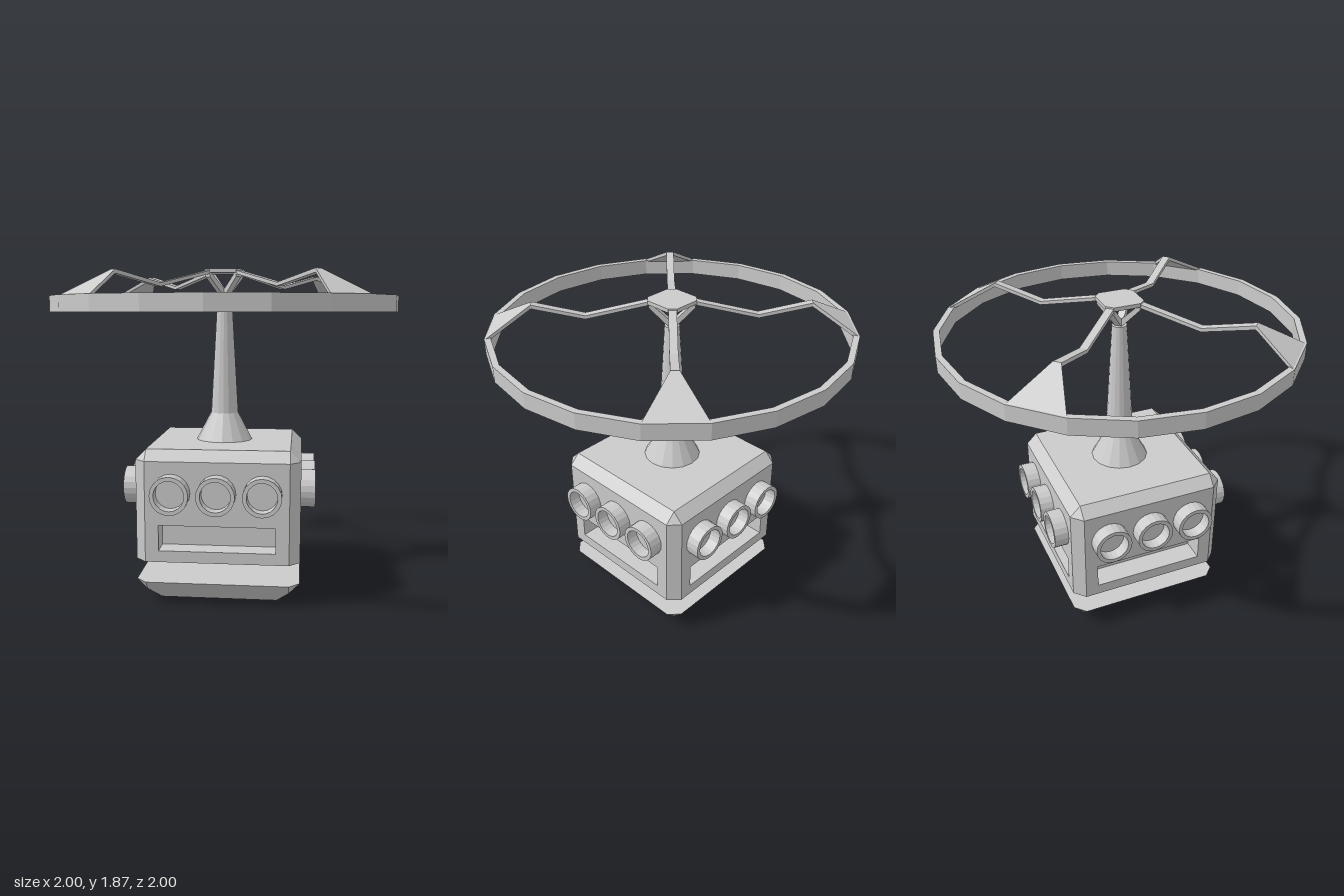
import * as THREE from 'three';
import { ConvexGeometry } from 'three/addons/geometries/ConvexGeometry.js';

const material = new THREE.MeshStandardMaterial({ color: 0xcccccc, flatShading: true });

function part(name, geometry, parent) {
  const mesh = new THREE.Mesh(geometry, material);
  mesh.name = name;
  parent.add(mesh);
  return mesh;
}

// Square outline with cut corners; b is the half size, a the half length of a side
const cutSquare = (a, b, y) => [[a, b], [b, a]].flatMap(([x, z]) =>
  [[x, z], [-x, z], [x, -z], [-x, -z]].map(([px, pz]) => new THREE.Vector3(px, y, pz)));

const lathe = (points, sides) =>
  new THREE.LatheGeometry(points.map(([x, y]) => new THREE.Vector2(x, y)), sides);

// Rectangular bar through stations [radius, height, half width, thickness]
function bar(stations) {
  const positions = [], index = [];
  for (const [r, y, w, t] of stations) {
    positions.push(r, y + t / 2, w, r, y + t / 2, -w, r, y - t / 2, -w, r, y - t / 2, w);
  }
  for (let i = 0; i < stations.length - 1; i++) {
    for (let j = 0; j < 4; j++) {
      const k = (j + 1) % 4, a = i * 4, b = a + 4;
      index.push(a + j, b + j, b + k, a + j, b + k, a + k);
    }
  }
  const e = (stations.length - 1) * 4;
  index.push(0, 1, 2, 0, 2, 3, e, e + 2, e + 1, e, e + 3, e + 2);
  const geometry = new THREE.BufferGeometry();
  geometry.setAttribute('position', new THREE.Float32BufferAttribute(positions, 3));
  geometry.setIndex(index);
  const flat = geometry.toNonIndexed();
  flat.computeVertexNormals();
  return flat;
}

function rectangle(PathType, x, y0, y1) {
  return new PathType([[-x, y0], [x, y0], [x, y1], [-x, y1]].map(([px, py]) => new THREE.Vector2(px, py)));
}

export function createModel() {
  const model = new THREE.Group();
  model.name = 'flyingRobot';

  // Floating tapered base
  part('base', new ConvexGeometry([
    ...cutSquare(0.4, 0.46, 0.13),
    ...cutSquare(0.4, 0.4, 0.07),
    ...cutSquare(0.33, 0.33, 0),
  ]), model);

  // Body core and bevelled roof
  const core = part('bodyCore', new THREE.BoxGeometry(0.66, 0.57, 0.66), model);
  core.position.y = 0.535;
  part('roof', new ConvexGeometry([
    ...cutSquare(0.4, 0.46, 0.82),
    ...cutSquare(0.4, 0.4, 0.88),
  ]), model);

  // Four equal sides: slotted panel, bevelled corner and three round eyes
  const panelShape = rectangle(THREE.Shape, 0.4, 0.25, 0.82);
  panelShape.holes.push(rectangle(THREE.Path, 0.325, 0.315, 0.46));
  const panelGeometry = new THREE.ExtrudeGeometry(panelShape, { depth: 0.13, bevelEnabled: false });
  const cornerGeometry = new ConvexGeometry([0.25, 0.82].flatMap((y) =>
    [[0.4, 0.46], [0.46, 0.4], [0.36, 0.36]].map(([x, z]) => new THREE.Vector3(x, y, z))));
  const eyeGeometry = lathe([[0.107, 0], [0.107, 0.1], [0.084, 0.1], [0.084, 0.03], [0, 0.03]], 20);
  for (let i = 0; i < 4; i++) {
    const side = new THREE.Group();
    side.name = 'bodySide';
    side.rotation.y = i * Math.PI / 2;
    model.add(side);
    part('slottedPanel', panelGeometry, side).position.z = 0.33;
    part('bevelledCorner', cornerGeometry, side);
    for (const x of [-0.253, 0, 0.253]) {
      const eye = part('eye', eyeGeometry, side);
      eye.rotation.x = Math.PI / 2;
      eye.position.set(x, 0.645, 0.44);
    }
  }

  // Flared mast
  part('mast', lathe([[0.165, 0.87], [0.165, 0.88], [0.081, 1.04], [0.042, 1.72], [0, 1.725]], 16), model);

  // Rotor ring
  part('rotorRing', lathe([[0.965, 1.63], [1, 1.63], [1, 1.72], [0.965, 1.72], [0.965, 1.63]], 20), model);

  // Hub plate, with struts and bent spokes that flare out to the ring
  part('hubPlate', new ConvexGeometry([
    ...cutSquare(0.075, 0.11, 1.85),
    ...cutSquare(0.075, 0.11, 1.872),
  ]), model);
  const strutGeometry = bar([[0.01, 1.73, 0.02, 0.045], [0.125, 1.845, 0.02, 0.035]]);
  const spokeGeometry = bar([
    [0.1, 1.86, 0.022, 0.02],
    [0.465, 1.777, 0.022, 0.02],
    [0.75, 1.84, 0.022, 0.022],
    [0.978, 1.71, 0.153, 0.02],
  ]);
  for (let i = 0; i < 4; i++) {
    const angle = Math.PI / 4 + i * Math.PI / 2;
    part('hubStrut', strutGeometry, model).rotation.y = angle;
    part('rotorSpoke', spokeGeometry, model).rotation.y = angle;
  }

  return model;
}
